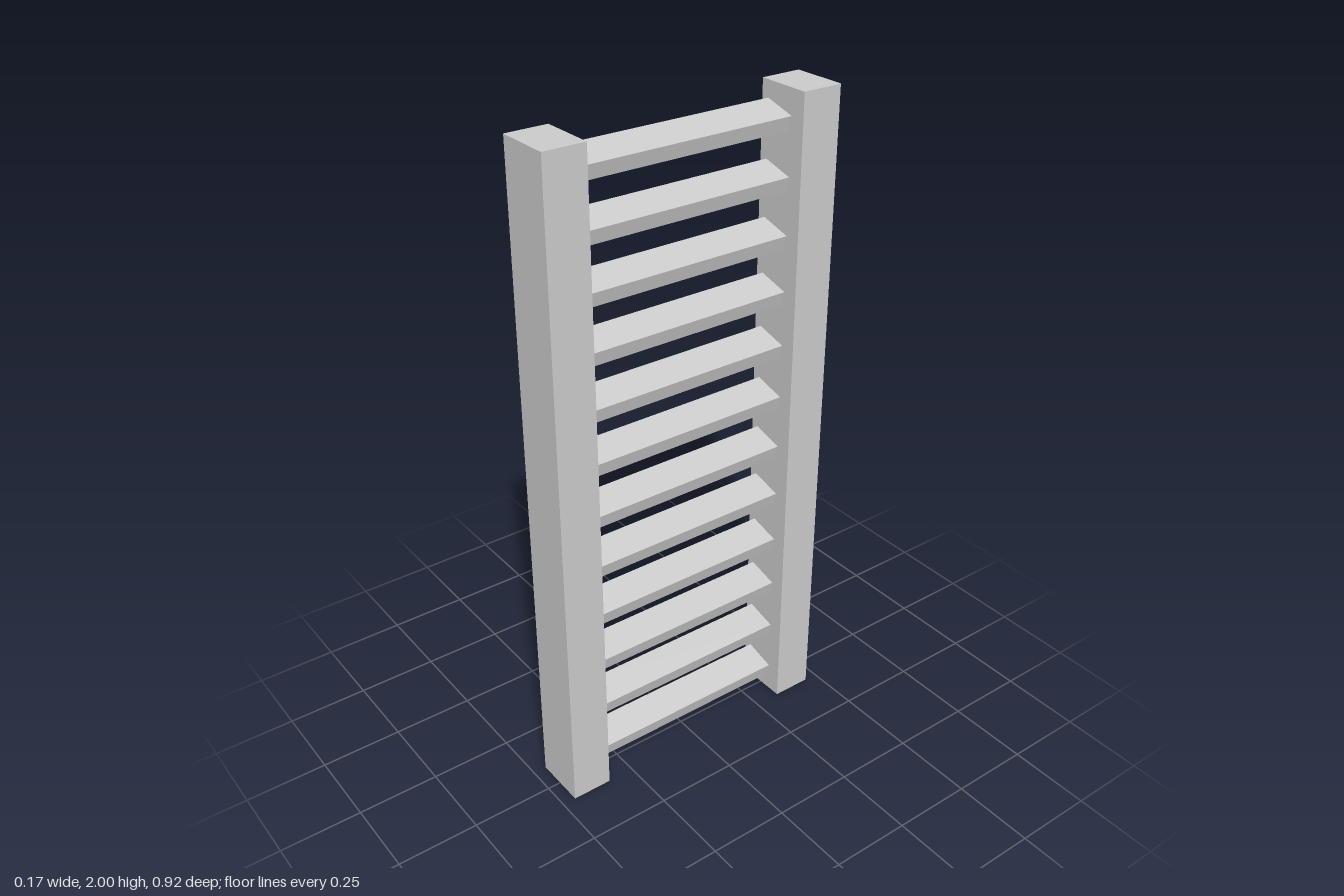
import * as THREE from 'three';

const HEIGHT = 2;
const POST_WIDTH = 0.167;
const POST_DEPTH = 0.125;
const OPENING = 0.667; // clear distance between the posts
const SLAT_COUNT = 12;

export function createModel() {
  const group = new THREE.Group();
  group.name = 'louvredPanel';
  const material = new THREE.MeshStandardMaterial({ color: 0xcccccc, flatShading: true });

  // Two upright posts, mirrored in z
  const postGeometry = new THREE.BoxGeometry(POST_WIDTH, HEIGHT, POST_DEPTH);
  for (const side of [1, -1]) {
    const post = new THREE.Mesh(postGeometry, material);
    post.name = side > 0 ? 'frontPost' : 'backPost';
    post.position.set(0, HEIGHT / 2, side * (OPENING + POST_DEPTH) / 2);
    group.add(post);
  }

  // Evenly spaced slats, tilted down towards +x and set back from the posts' centre
  const slatGeometry = new THREE.BoxGeometry(0.1, 0.045, OPENING);
  const spacing = HEIGHT / SLAT_COUNT;
  for (let i = 0; i < SLAT_COUNT; i++) {
    const slat = new THREE.Mesh(slatGeometry, material);
    slat.name = `slat${i + 1}`;
    slat.position.set(-0.017, (i + 0.5) * spacing, 0);
    slat.rotation.z = -THREE.MathUtils.degToRad(15);
    group.add(slat);
  }

  return group;
}
